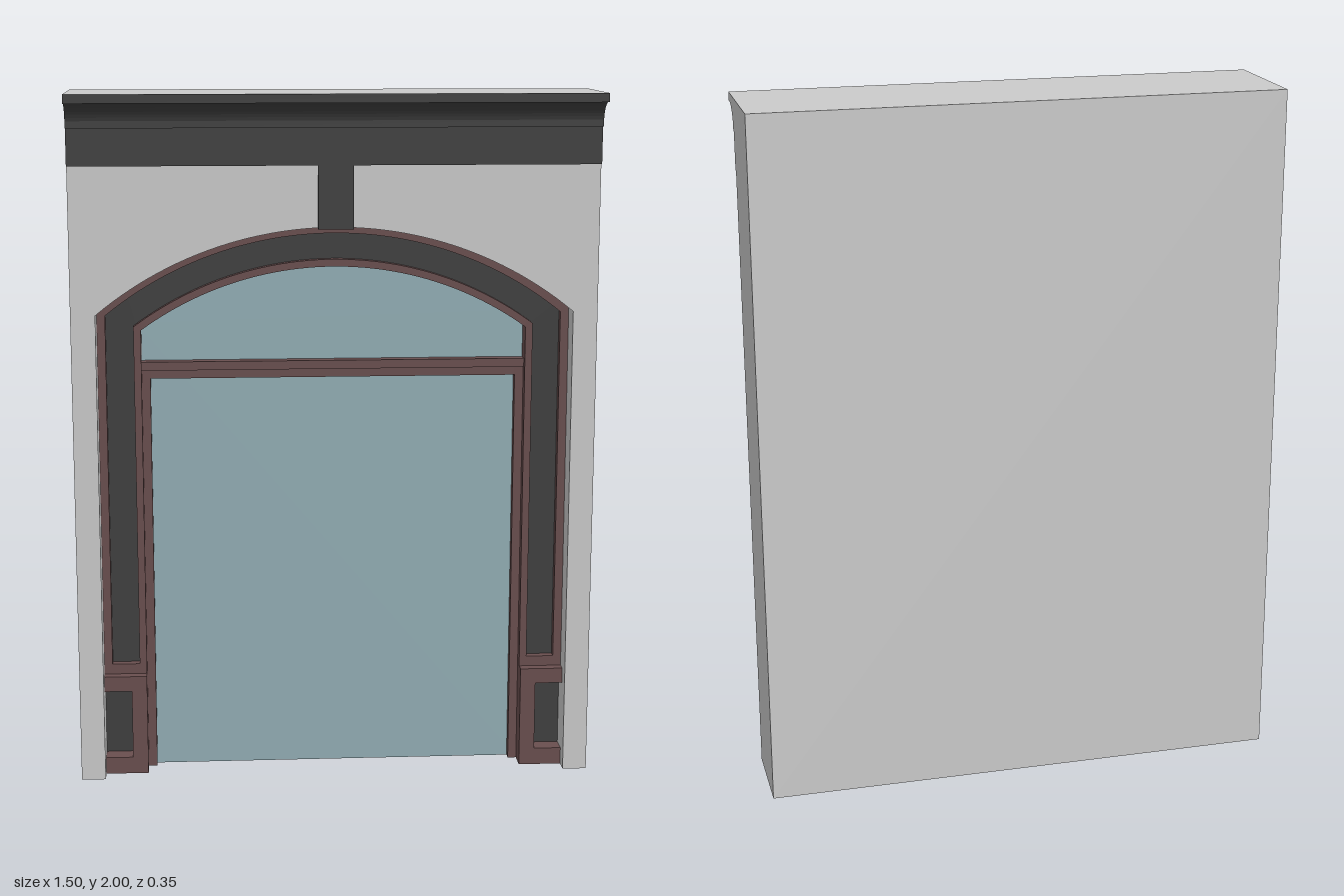
import * as THREE from 'three';

const grey = new THREE.MeshStandardMaterial({ color: 0xcccccc });
const brown = new THREE.MeshStandardMaterial({ color: 0x6a4f4f });
const dark = new THREE.MeshStandardMaterial({ color: 0x404040 });
const glassMat = new THREE.MeshStandardMaterial({ color: 0x93afb6 });

const HALF = 0.75, BACK = -0.172, FACE = 0.075, BED = -0.06;
const ARC_Y = 0.559; // shared centre height of all the arches

const v = (x, y) => new THREE.Vector2(x, y);

// Right jamb foot, over the segmental arch, to the left jamb foot
function archLine(w, r, y0, n = 48) {
  const a = Math.acos(w / r), pts = [v(w, y0)];
  for (let i = 0; i <= n; i++) {
    const t = a + (Math.PI - 2 * a) * i / n;
    pts.push(v(r * Math.cos(t), ARC_Y + r * Math.sin(t)));
  }
  pts.push(v(-w, y0));
  return pts;
}

// Arched band between two arch lines
const bandPoints = (w1, r1, w2, r2, y0) => [...archLine(w1, r1, y0), ...archLine(w2, r2, y0).reverse()];

export function createModel() {
  const model = new THREE.Group();

  function add(name, geometry, material) {
    const mesh = new THREE.Mesh(geometry, material);
    mesh.name = name;
    model.add(mesh);
    return mesh;
  }
  function slab(name, points, z0, z1, material, hole) {
    const shape = new THREE.Shape(points);
    if (hole) shape.holes.push(new THREE.Path(hole));
    const g = new THREE.ExtrudeGeometry(shape, { depth: z1 - z0, bevelEnabled: false });
    return add(name, g.translate(0, 0, z0), material);
  }
  function box(name, x0, x1, y0, y1, z0, z1, material) {
    const g = new THREE.BoxGeometry(x1 - x0, y1 - y0, z1 - z0);
    return add(name, g.translate((x0 + x1) / 2, (y0 + y1) / 2, (z0 + z1) / 2), material);
  }

  // Wall with arched recess, closed behind
  box('wallBack', -HALF, HALF, 0, 2, BACK, BED, grey);
  slab('wallFront', [v(HALF, 0), v(HALF, 2), v(-HALF, 2), v(-HALF, 0),
    ...archLine(0.68, 1.066, 0).reverse()], BED, FACE, grey);

  // Cornice: grey core with a dark moulded facing
  const cove = new THREE.QuadraticBezierCurve(v(0.097, 1.925), v(0.108, 1.965), v(0.15, 1.976));
  const profile = [v(FACE, 1.8), v(0.086, 1.8), v(0.086, 1.905), v(0.097, 1.905),
    ...cove.getPoints(8), v(0.174, 1.976), v(0.174, 2)];
  const core = new THREE.ExtrudeGeometry(new THREE.Shape([...profile, v(FACE, 2)]),
    { depth: 2 * HALF, bevelEnabled: false });
  core.rotateY(-Math.PI / 2).translate(HALF, 0, 0);
  add('corniceCore', core, grey);
  const rows = profile.length - 1;
  const strip = new THREE.PlaneGeometry(2 * HALF, 1, 1, rows);
  const pos = strip.attributes.position;
  for (let i = 0; i < pos.count; i++) {
    const p = profile[rows - Math.floor(i / 2)];
    pos.setXYZ(i, pos.getX(i), p.y - (p.y < 2 ? 0.001 : 0), p.x + 0.001);
  }
  const facing = strip.toNonIndexed();
  facing.computeVertexNormals();
  add('corniceFacing', facing, dark);
  box('keyBar', -0.05, 0.05, 1.62, 1.8, FACE - 0.01, 0.085, dark);

  // Arched surround: brown edging around a sunken dark band
  slab('archTrim', bandPoints(0.68, 1.066, 0.555, 0.946, 0.3), BED, 0, brown,
    bandPoints(0.656, 1.042, 0.576, 0.967, 0.33));
  slab('archPanel', bandPoints(0.665, 1.05, 0.568, 0.96, 0.32), BED, -0.025, dark);

  // Pedestals, notched on the outer side with a dark panel inside
  for (const s of [1, -1]) {
    const side = s > 0 ? 'left' : 'right';
    const outline = [[0.555, 0], [0.68, 0], [0.68, 0.05], [0.6, 0.05],
      [0.6, 0.255], [0.68, 0.255], [0.68, 0.3], [0.555, 0.3]].map(([x, y]) => v(s * x, y));
    slab(side + 'Pedestal', outline, BED, 0.03, brown);
    const [a, b] = s > 0 ? [0.595, 0.68] : [-0.68, -0.595];
    box(side + 'PedestalPanel', a, b, 0.045, 0.26, BED, -0.025, dark);
    // Window jambs
    const [c, d] = s > 0 ? [0.53, 0.555] : [-0.555, -0.53];
    box(side + 'Jamb', c, d, 0, 1.205, BED, -0.03, brown);
  }

  // Window head, transom and glazing
  box('windowHead', -0.53, 0.53, 1.18, 1.205, BED, -0.03, brown);
  box('transom', -0.555, 0.555, 1.205, 1.23, BED, -0.02, brown);
  const glass = new THREE.ShapeGeometry(new THREE.Shape(archLine(0.555, 0.946, 0)));
  add('glass', glass.translate(0, 0, -0.055), glassMat);

  return model;
}
